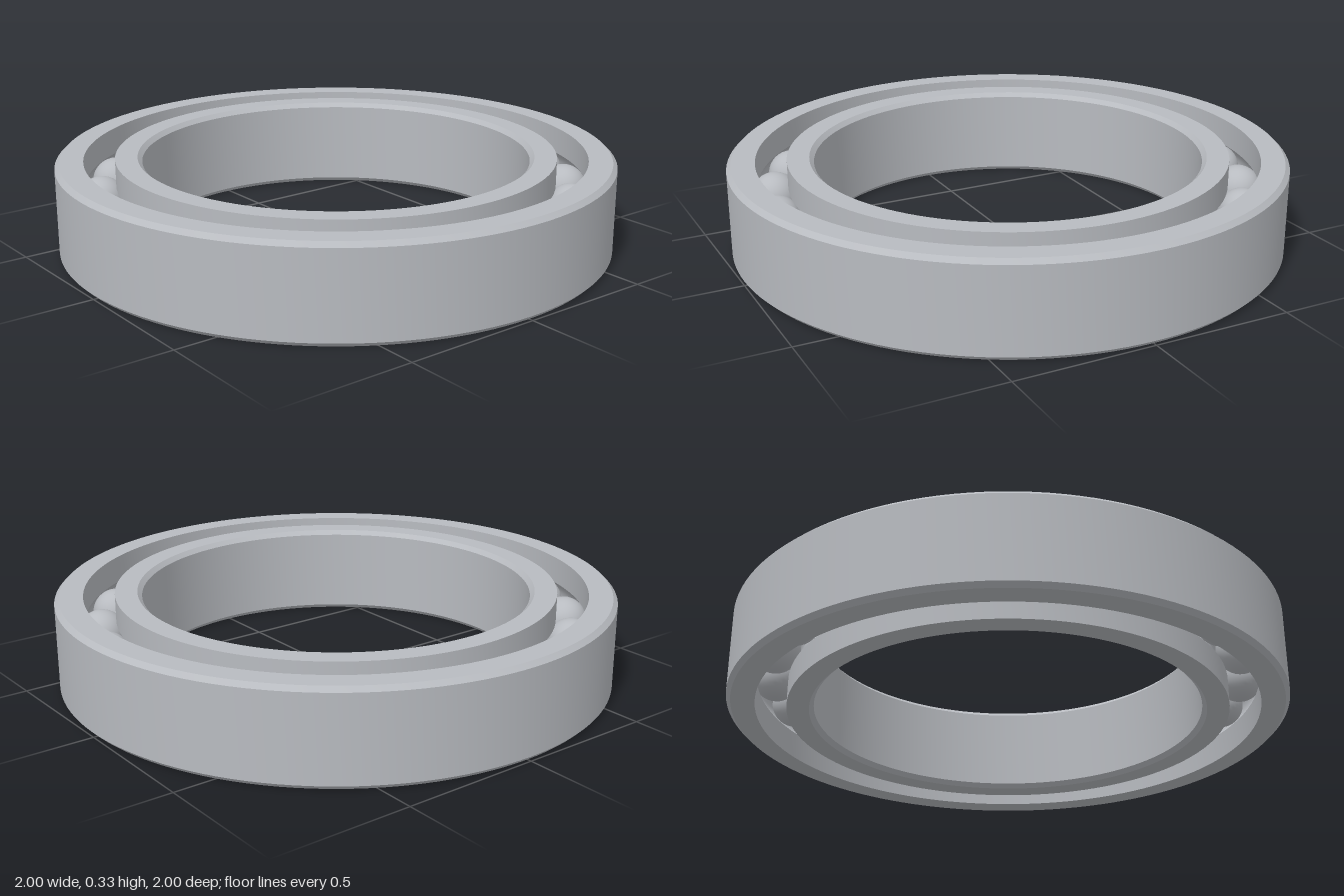
import * as THREE from 'three';
import { toCreasedNormals } from 'three/addons/utils/BufferGeometryUtils.js';

const HEIGHT = 0.334, MID = HEIGHT / 2, CHAMFER = 0.016;
const OUTER = 1, BORE = 0.695;          // overall radii
const OUTER_WALL = 0.9, INNER_WALL = 0.79; // walls facing the balls
const PITCH = 0.845, BALL = 0.086, GROOVE = 0.088, BALLS = 22;

// Points of the raceway arc, on the outer (+1) or inner (-1) side of the balls
function raceway(side, wall) {
  const half = Math.acos(Math.abs(wall - PITCH) / GROOVE);
  const points = [];
  for (let i = 0; i <= 12; i++) {
    const a = side * half * (1 - i / 6);
    points.push([PITCH + side * GROOVE * Math.cos(a), MID + GROOVE * Math.sin(a)]);
  }
  return points;
}

// Revolves a closed profile, listed counterclockwise in (radius, height)
function ring(name, profile, material) {
  const points = [...profile, profile[0]].map(([r, y]) => new THREE.Vector2(r, y));
  const mesh = new THREE.Mesh(toCreasedNormals(new THREE.LatheGeometry(points, 128), 0.6), material);
  mesh.name = name;
  return mesh;
}

export function createModel() {
  const model = new THREE.Group();
  model.name = 'ballBearing';
  const steel = new THREE.MeshStandardMaterial({ color: 0xb8bbc0 });
  steel.name = 'steel';

  // Outer ring: chamfered outside, grooved inside
  model.add(ring('outerRing', [
    [OUTER_WALL, 0], [OUTER - CHAMFER, 0], [OUTER, CHAMFER],
    [OUTER, HEIGHT - CHAMFER], [OUTER - CHAMFER, HEIGHT], [OUTER_WALL, HEIGHT],
    ...raceway(1, OUTER_WALL),
  ], steel));

  // Inner ring: chamfered bore, grooved outside
  model.add(ring('innerRing', [
    [BORE + CHAMFER, 0], [INNER_WALL, 0],
    ...raceway(-1, INNER_WALL),
    [INNER_WALL, HEIGHT], [BORE + CHAMFER, HEIGHT],
    [BORE, HEIGHT - CHAMFER], [BORE, CHAMFER],
  ], steel));

  // Balls spaced evenly around the raceway
  const balls = new THREE.Group();
  balls.name = 'balls';
  const ballGeometry = new THREE.SphereGeometry(BALL, 32, 20);
  for (let i = 0; i < BALLS; i++) {
    const a = (i / BALLS) * Math.PI * 2;
    const ball = new THREE.Mesh(ballGeometry, steel);
    ball.name = 'ball';
    ball.position.set(PITCH * Math.cos(a), MID, PITCH * Math.sin(a));
    balls.add(ball);
  }
  model.add(balls);
  return model;
}
